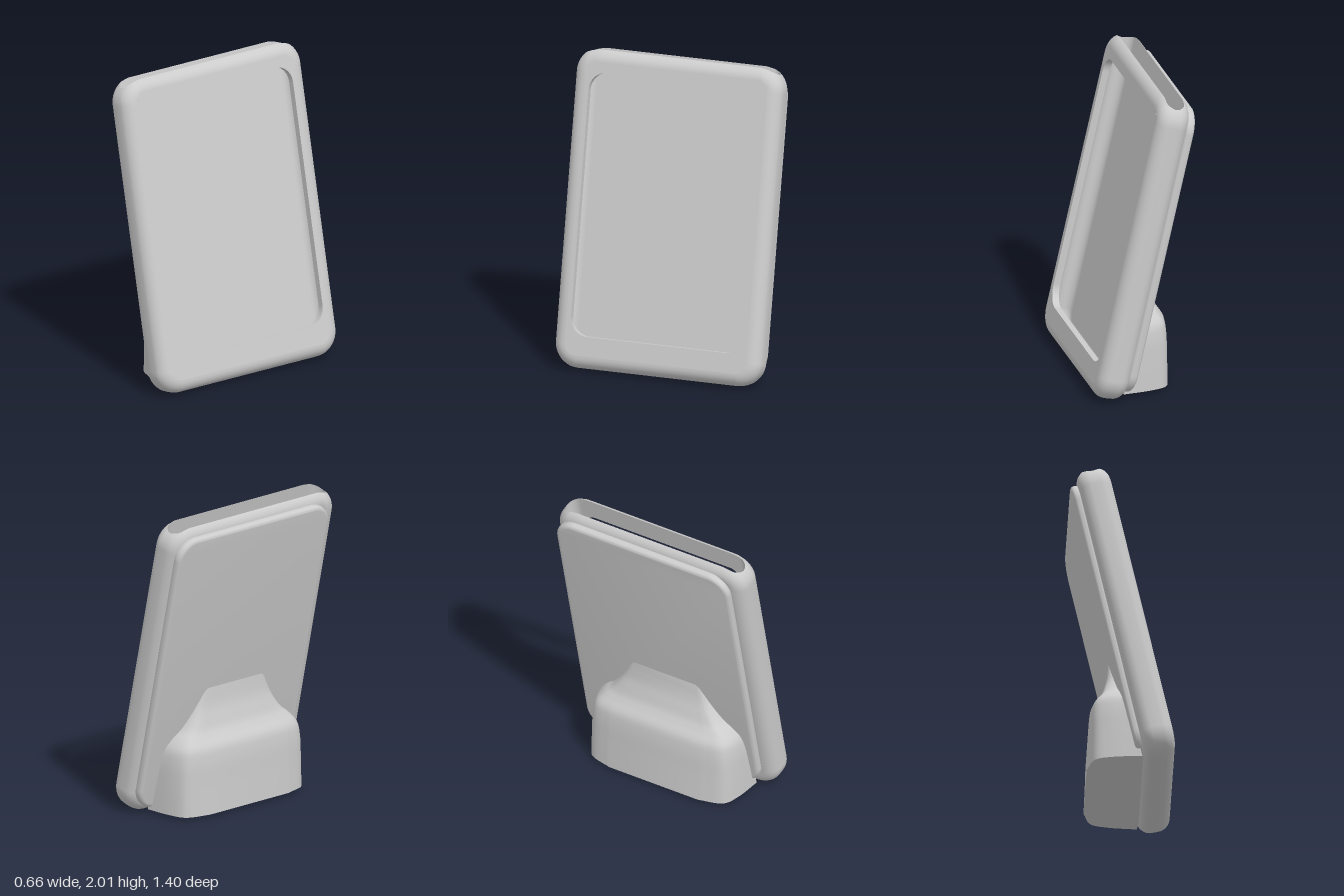
import * as THREE from 'three';
import { toCreasedNormals } from 'three/addons/utils/BufferGeometryUtils.js';

const material = new THREE.MeshStandardMaterial({ color: 0xcccccc, side: THREE.DoubleSide });

// Case sizes: half width, half height, half thickness, corner radius, edge radius
const HW = 0.7, HU = 1.027, HT = 0.105, CORNER = 0.16, EDGE = 0.085;
// Cavity sizes, a constant wall inside the case
const WALL = 0.045, SLOT = 0.06;
const TOP = HU - CORNER; // height where the top cap begins

function mesh(geometry, name) {
  const m = new THREE.Mesh(geometry, material);
  m.name = name;
  return m;
}

// Surface through rows of points
function grid(rows) {
  const n = rows[0].length, index = [];
  for (let i = 0; i < rows.length - 1; i++) {
    for (let j = 0; j < n - 1; j++) {
      const a = i * n + j, b = a + 1, c = a + n, d = c + 1;
      index.push(a, b, d, a, d, c);
    }
  }
  const g = new THREE.BufferGeometry().setFromPoints(rows.flat());
  g.setIndex(index);
  g.computeVertexNormals();
  return g;
}

// Rounded edge profile as [inset, w] pairs; ht is the half thickness
function edgeProfile(ht, r) {
  const pts = [];
  for (let i = -8; i <= 8; i++) {
    const a = (i / 16) * Math.PI;
    pts.push([r * (1 - Math.cos(a)), Math.sign(i) * (ht - r) + r * Math.sin(a)]);
  }
  return pts;
}

// Edge profile swept down one side, along the bottom and up the other
function rim(hw, hu, ht, corner, r) {
  const path = [[hw, TOP, 1, 0]];
  for (const side of [1, -1]) {
    for (let i = 0; i <= 10; i++) {
      const k = side > 0 ? i : 10 - i, a = (k / 10) * Math.PI / 2;
      const c = Math.cos(a), s = Math.sin(a);
      path.push([side * (hw - corner + corner * c), -hu + corner - corner * s, side * c, -s]);
    }
  }
  path.push([-hw, TOP, -1, 0]);
  const profile = edgeProfile(ht, r);
  return grid(path.map(([z, u, nz, nu]) =>
    profile.map(([d, w]) => new THREE.Vector3(w, u - nu * d, z - nz * d))));
}

// Horizontal section outline as [z, w] pairs
function sectionOutline(hw, ht, r) {
  const pts = [];
  for (const s of [1, -1]) {
    for (const [d, w] of edgeProfile(ht, r)) pts.push([s * (hw - d), s * w]);
    for (let i = 1; i < 24; i++) pts.push([s * (hw - r) * (1 - i / 12), s * ht]);
  }
  pts.push(pts[0]);
  return pts;
}

// Height of the rounded case top above a point of its section
function topHeight(z, w) {
  const e = Math.max(0, Math.abs(w) - (HT - EDGE));
  const r = CORNER - EDGE + Math.sqrt(Math.max(0, EDGE * EDGE - e * e));
  const over = Math.max(0, Math.abs(z) - (HW - CORNER));
  return TOP + Math.sqrt(Math.max(0, r * r - over * over));
}

function roundedRect(hw, hu, r, y = 0) {
  const s = new THREE.Shape(), h = Math.PI / 2;
  s.absarc(hw - r, y + hu - r, r, 0, h);
  s.absarc(-hw + r, y + hu - r, r, h, 2 * h);
  s.absarc(-hw + r, y - hu + r, r, 2 * h, 3 * h);
  s.absarc(hw - r, y - hu + r, r, 3 * h, 4 * h);
  s.closePath();
  return s;
}

// Panel extruded along the case thickness, starting at depth w
function panel(shape, w, options) {
  const g = new THREE.ExtrudeGeometry(shape, { bevelEnabled: false, curveSegments: 10, ...options });
  g.rotateY(Math.PI / 2).translate(w, 0, 0);
  return toCreasedNormals(g, 0.6);
}

function createCase() {
  const frame = new THREE.Group();
  frame.name = 'case';
  frame.add(mesh(rim(HW, HU, HT, CORNER, EDGE), 'outerRim'));
  frame.add(mesh(rim(HW - WALL, HU - WALL, SLOT, CORNER - WALL, SLOT), 'cavityWall'));

  // Rounded top with the insertion slot
  const inner = sectionOutline(HW - WALL, SLOT, SLOT), outer = sectionOutline(HW, HT, EDGE);
  const cap = [];
  for (let i = 0; i <= 10; i++) {
    const t = Math.sin((i / 10) * Math.PI / 2);
    cap.push(inner.map(([z, w], j) => {
      const pz = z + (outer[j][0] - z) * t, pw = w + (outer[j][1] - w) * t;
      return new THREE.Vector3(pw, topHeight(pz, pw), pz);
    }));
  }
  frame.add(mesh(grid(cap), 'slottedTop'));
  const lining = [inner.map(([z, w]) => new THREE.Vector3(w, TOP, z)), cap[0].map((p) => p.clone())];
  frame.add(mesh(grid(lining), 'slotLining'));

  // Front bezel with its window, and the floor of the cavity
  const face = () => roundedRect(HW - EDGE, HU - EDGE, CORNER - EDGE);
  const bezel = face();
  bezel.holes.push(roundedRect(0.587, 0.846, 0.12, 0.03));
  frame.add(mesh(panel(bezel, SLOT, { depth: HT - SLOT }), 'bezel'));
  frame.add(mesh(panel(face(), -HT, { depth: HT - SLOT }), 'cavityFloor'));

  // Raised back plate with rounded edges, set slightly to one side
  const plate = mesh(panel(roundedRect(0.615, 0.945, 0.12), -0.122, {
    depth: 0.012, bevelEnabled: true, bevelThickness: 0.025, bevelSize: 0.025, bevelSegments: 5,
  }), 'backPlate');
  plate.position.z = -0.035;
  frame.add(plate);

  frame.rotation.z = THREE.MathUtils.degToRad(12.75);
  frame.position.set(0.022, 1.003, 0);
  return frame;
}

// Stand: sections [height, back x, half widths at back, middle and front]
function createStand() {
  const levels = [
    [0.01, -0.22, 0.33, 0.49, 0.555], [0.2, -0.212, 0.33, 0.485, 0.55],
    [0.36, -0.205, 0.33, 0.475, 0.54], [0.44, -0.19, 0.33, 0.46, 0.52],
    [0.5, -0.15, 0.32, 0.42, 0.47], [0.54, -0.128, 0.3, 0.375, 0.42],
    [0.6, -0.11, 0.28, 0.33, 0.37], [0.68, -0.092, 0.25, 0.285, 0.32],
    [0.84, -0.08, 0.22, 0.23, 0.24],
  ];
  const rows = levels.map(([y, xb, hb, hm, hf]) => {
    const xf = 0.13 - 0.226 * y, dx = xf - xb;
    const side = new THREE.CatmullRomCurve3([
      new THREE.Vector3(xf, y, hf),
      new THREE.Vector3(xb + dx * 0.45, y, hm + (hf - hm) * 0.65),
      new THREE.Vector3(xb + dx * 0.15, y, hm),
      new THREE.Vector3(xb, y, hb),
    ]).getPoints(15);
    const mirrored = side.map((p) => new THREE.Vector3(p.x, p.y, -p.z)).reverse();
    return [...side, ...mirrored, side[0].clone()];
  });
  // Smooth the sections along the height
  const columns = rows[0].map((_, j) => new THREE.CatmullRomCurve3(rows.map((r) => r[j])).getPoints(40));
  const stand = new THREE.Group();
  stand.name = 'stand';
  stand.add(mesh(toCreasedNormals(grid(columns), 0.5), 'standBody'));

  // Flat foot closing the underside
  const foot = new THREE.ShapeGeometry(new THREE.Shape(rows[0].slice(0, -1).map((p) => new THREE.Vector2(p.x, p.z))));
  foot.rotateX(Math.PI / 2).translate(0, 0.01, 0);
  stand.add(mesh(foot, 'standFoot'));
  return stand;
}

export function createModel() {
  const model = new THREE.Group();
  model.name = 'leaningFrameOnStand';
  model.add(createCase(), createStand());
  return model;
}
